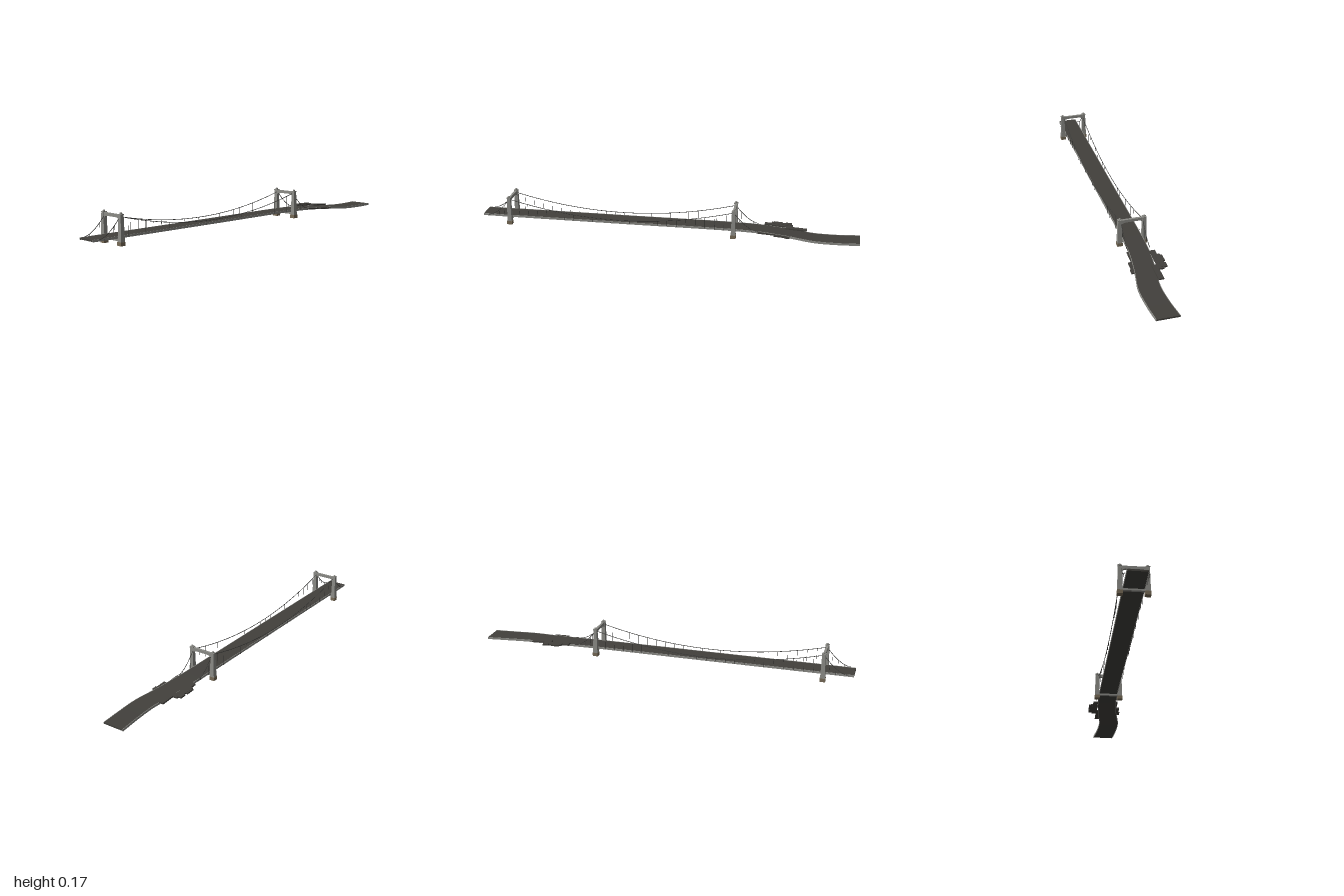
import * as THREE from 'three';

const paint = (color) => new THREE.MeshStandardMaterial({ color, flatShading: true });
const asphalt = paint(0x42403c);
const stone = paint(0x8b8b86);
const footing = paint(0x776b57);
const steel = paint(0x3c3c3a);

const TOWER = 0.653;  // distance of each tower from mid-span
const LEG = 0.069;    // sideways offset of a tower leg
const CABLE = 0.061;  // sideways offset of a cable
const ROAD = 0.047;   // height of the main road surface

// Road centre line: distance along, sideways shift, height, half width
const stations = [
  [-0.818, 0, ROAD, 0.054], [-0.65, 0, ROAD, 0.055], [0, 0, ROAD, 0.055], [0.65, 0, ROAD, 0.055],
  [0.8, 0.004, 0.044, 0.056], [0.966, 0.022, 0.035, 0.058], [1.1, 0.043, 0.026, 0.06],
  [1.23, 0.04, 0.022, 0.061], [1.356, 0.028, 0.0215, 0.063],
];
const centre = new THREE.CatmullRomCurve3(stations.map(([s, t, y]) => new THREE.Vector3(s, y, t)), false, 'centripetal');
const halfWidth = (s) => {
  const i = Math.max(1, stations.findIndex((p) => p[0] >= s - 1e-6));
  const a = stations[i - 1], b = stations[i];
  return THREE.MathUtils.mapLinear(s, a[0], b[0], a[3], b[3]);
};

function add(parent, name, geometry, material, x = 0, y = 0, z = 0) {
  const mesh = new THREE.Mesh(geometry, material);
  mesh.name = name;
  mesh.position.set(x, y, z);
  parent.add(mesh);
  return mesh;
}

// Rectangular section swept along the road; zRange(halfWidth) gives its sides
function sweep(zRange, low, high) {
  const n = 64, pos = [], idx = [];
  for (let i = 0; i <= n; i++) {
    const p = centre.getPoint(i / n);
    const [l, r] = zRange(halfWidth(p.x));
    for (const [z, y] of [[l, low], [r, low], [r, high], [l, high]]) pos.push(p.x, p.y + y, p.z + z);
  }
  for (let i = 0; i < n; i++) {
    for (let k = 0; k < 4; k++) {
      const a = i * 4 + k, b = i * 4 + (k + 1) % 4;
      idx.push(a, a + 4, b, a + 4, b + 4, b);
    }
  }
  const e = n * 4;
  idx.push(0, 1, 2, 0, 2, 3, e, e + 2, e + 1, e, e + 3, e + 2);
  const geo = new THREE.BufferGeometry();
  geo.setAttribute('position', new THREE.Float32BufferAttribute(pos, 3));
  geo.setIndex(idx);
  const flat = geo.toNonIndexed();
  flat.computeVertexNormals();
  return flat;
}

// Square post that tapers from bottom to top
function taperedPost(bottom, top, height) {
  return new THREE.CylinderGeometry(top * Math.SQRT1_2, bottom * Math.SQRT1_2, height, 4).rotateY(Math.PI / 4);
}

function makeTower() {
  const tower = new THREE.Group();
  tower.name = 'tower';
  for (const side of [-1, 1]) {
    const z = side * LEG;
    add(tower, 'footing', new THREE.BoxGeometry(0.03, 0.02, 0.03), footing, 0, 0.01, z);
    add(tower, 'legPlinth', taperedPost(0.027, 0.024, 0.03), stone, 0, 0.035, z);
    add(tower, 'leg', taperedPost(0.024, 0.019, 0.11), stone, 0, 0.103, z);
    add(tower, 'legCap', new THREE.BoxGeometry(0.022, 0.005, 0.022), stone, 0, 0.159, z);
    add(tower, 'finial', new THREE.SphereGeometry(0.007, 8, 6), stone, 0, 0.164, z);
  }
  // Portal beam with a shallow arch underneath
  const w = LEG - 0.008;
  const shape = new THREE.Shape();
  shape.moveTo(-w, 0.158);
  shape.lineTo(-w, 0.128);
  shape.quadraticCurveTo(-w + 0.006, 0.141, -w + 0.026, 0.142);
  shape.lineTo(w - 0.026, 0.142);
  shape.quadraticCurveTo(w - 0.006, 0.141, w, 0.128);
  shape.lineTo(w, 0.158);
  shape.closePath();
  const beam = new THREE.ExtrudeGeometry(shape, { depth: 0.013, bevelEnabled: false, curveSegments: 6 });
  beam.translate(0, 0, -0.0065).rotateY(Math.PI / 2);
  add(tower, 'portalBeam', beam, stone);
  add(tower, 'deckStrut', new THREE.BoxGeometry(0.015, 0.01, 2 * LEG), stone, 0, 0.027, 0);
  return tower;
}

// Cable following height(s) from s0 to s1, with vertical hangers down to the road
function addCable(parent, side, s0, s1, height, hangers) {
  const points = [];
  for (let i = 0; i <= 24; i++) {
    const s = THREE.MathUtils.lerp(s0, s1, i / 24);
    points.push(new THREE.Vector3(s, height(s), side * CABLE));
  }
  add(parent, 'cable', new THREE.TubeGeometry(new THREE.CatmullRomCurve3(points), 48, 0.0018, 5), steel);
  for (let i = 1; i <= hangers; i++) {
    const s = THREE.MathUtils.lerp(s0, s1, i / (hangers + 1));
    const h = height(s) - 0.04;
    add(parent, 'hanger', new THREE.CylinderGeometry(0.0007, 0.0007, h, 4), steel, s, 0.04 + h / 2, side * CABLE);
  }
}

export function createModel() {
  const model = new THREE.Group();
  model.name = 'suspensionBridge';
  const bridge = new THREE.Group();
  bridge.name = 'bridge';
  bridge.position.set(-0.247, 0, 0.114);
  bridge.rotation.y = 0.477;
  model.add(bridge);

  // Road slab and the pale girders along its edges
  add(bridge, 'roadDeck', sweep((w) => [-w + 0.002, w - 0.002], -0.009, 0), asphalt);
  add(bridge, 'leftGirder', sweep((w) => [w - 0.003, w], -0.011, 0.001), stone);
  add(bridge, 'rightGirder', sweep((w) => [-w, -w + 0.003], -0.011, 0.001), stone);

  for (const end of [-1, 1]) {
    const tower = makeTower();
    tower.position.x = end * TOWER;
    bridge.add(tower);
  }

  // Main span and side span cables
  const mainSag = (s) => 0.061 + 0.087 * (s / TOWER) ** 2;
  const sideSag = (s) => 0.046 + 0.102 * Math.max(0, 1 - (Math.abs(s) - TOWER) / 0.135) ** 1.7;
  for (const side of [-1, 1]) {
    addCable(bridge, side, -TOWER, TOWER, mainSag, 23);
    for (const end of [-1, 1]) addCable(bridge, side, end * TOWER, end * (TOWER + 0.135), sideSag, 3);
  }

  // Stepped slabs beside the road where it leaves the bridge: along, height, sideways, length, width
  const slabs = [
    [0.9, 0.042, -0.062, 0.16, 0.03], [0.915, 0.043, -0.077, 0.11, 0.026], [0.895, 0.044, -0.09, 0.05, 0.02],
    [0.955, 0.042, -0.088, 0.035, 0.02], [1.0, 0.036, -0.035, 0.12, 0.03],
    [0.87, 0.035, 0.06, 0.16, 0.02], [0.925, 0.033, 0.078, 0.09, 0.022], [0.955, 0.031, 0.087, 0.03, 0.018],
  ];
  for (const [s, y, t, length, width] of slabs) {
    const slab = add(bridge, 'approachSlab', new THREE.BoxGeometry(length, 0.008, width), asphalt, s, y, t);
    slab.rotation.z = -0.06;
  }
  return model;
}
